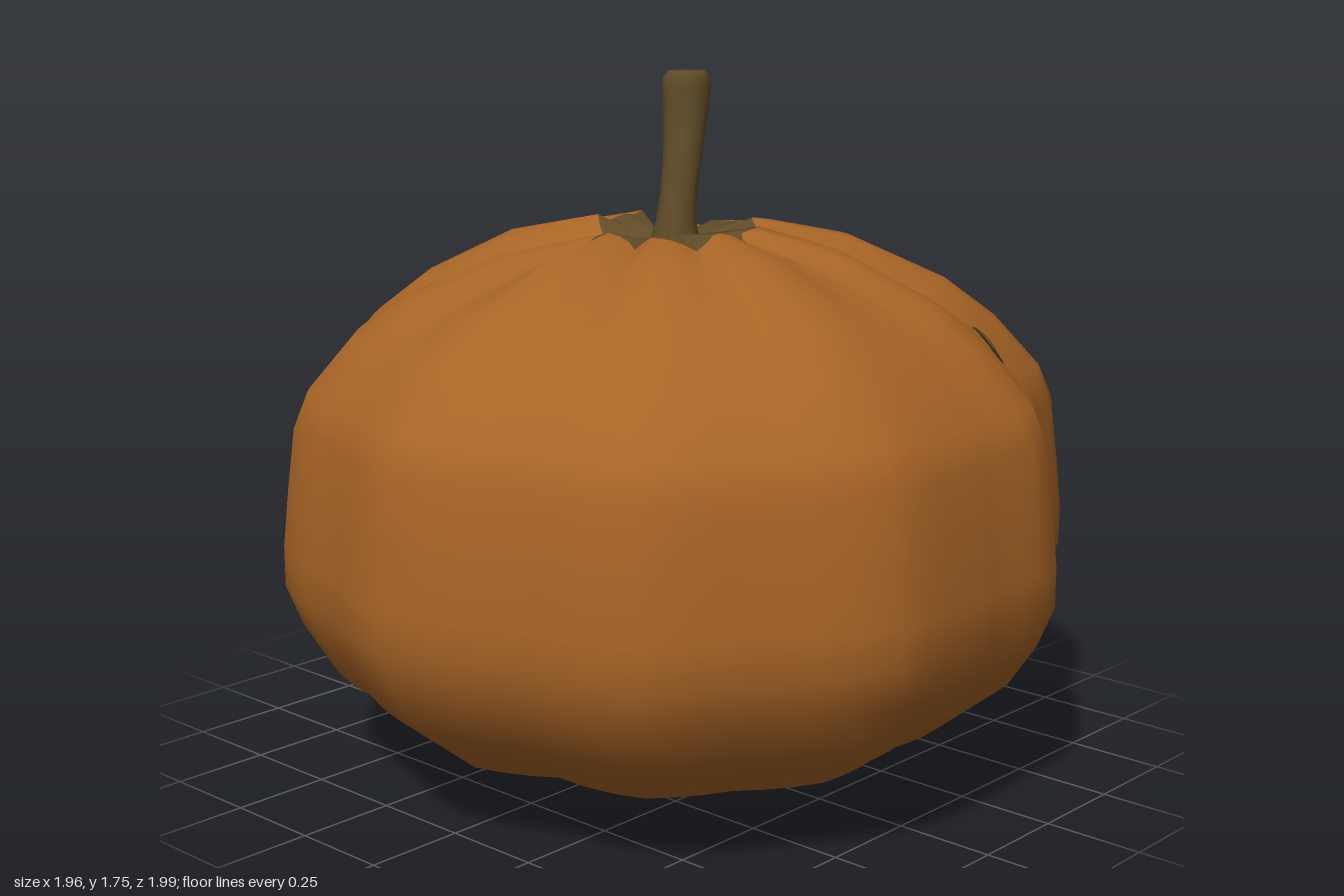
import * as THREE from 'three';

const lerp = THREE.MathUtils.lerp, clamp = THREE.MathUtils.clamp;
const mat = (name, color, side = THREE.FrontSide) => {
  const m = new THREE.MeshStandardMaterial({ color, side });
  m.name = name;
  return m;
};

// Radius at an angle, from a loop of [x, z] points
function polar(points) {
  const p = points.map(([x, z]) => ({ a: Math.atan2(z, x), r: Math.hypot(x, z) })).sort((u, v) => u.a - v.a);
  const first = p[0], last = p[p.length - 1];
  p.unshift({ a: last.a - 2 * Math.PI, r: last.r });
  p.push({ a: first.a + 2 * Math.PI, r: first.r });
  return angle => {
    const a = Math.atan2(Math.sin(angle), Math.cos(angle));
    const i = Math.max(1, p.findIndex(q => q.a >= a));
    return lerp(p[i - 1].r, p[i].r, (a - p[i - 1].a) / (p[i].a - p[i - 1].a));
  };
}

// Piecewise linear curve through [input, output] pairs
function curve(pairs) {
  return v => {
    for (let i = 1; i < pairs.length; i++) {
      if (v <= pairs[i][0]) {
        return lerp(pairs[i - 1][1], pairs[i][1], (v - pairs[i - 1][0]) / (pairs[i][0] - pairs[i - 1][0]));
      }
    }
    return pairs[pairs.length - 1][1];
  };
}

// Closed skin over equal rings of points, bottom to top
function loft(rings) {
  const n = rings[0].length, index = [];
  for (let i = 0; i < rings.length - 1; i++) {
    for (let j = 0; j < n; j++) {
      const k = (j + 1) % n, a = i * n + j, b = i * n + k, c = b + n, d = a + n;
      index.push(a, d, c, a, c, b);
    }
  }
  const g = new THREE.BufferGeometry().setFromPoints(rings.flat());
  g.setIndex(index);
  g.computeVertexNormals();
  return g;
}

// Lobed outline seen from above
const outline = [
  [0.03, -1], [0.33, -0.92], [0.5, -0.89], [0.63, -0.83], [0.69, -0.69], [0.75, -0.54], [0.945, -0.33],
  [0.96, -0.09], [0.97, 0.06], [0.965, 0.31], [0.8, 0.57], [0.63, 0.8], [0.33, 0.89], [0.03, 0.99],
  [-0.26, 0.9], [-0.55, 0.8], [-0.69, 0.645], [-0.76, 0.55], [-0.95, 0.32], [-0.97, 0.06], [-0.975, -0.26],
  [-0.945, -0.4], [-0.81, -0.51], [-0.72, -0.58], [-0.65, -0.69], [-0.55, -0.81], [-0.4, -0.88], [-0.2, -0.92],
];
const lobe = polar(outline);

// Ragged edges of the patches around the stem and under the fruit
const topStar = polar([
  [0.115, -0.25], [0.135, -0.15], [0.24, -0.14], [0.2, -0.03], [0.29, 0.03], [0.22, 0.08], [0.255, 0.175],
  [0.04, 0.195], [-0.035, 0.25], [-0.08, 0.21], [-0.09, 0.1], [-0.21, 0.04], [-0.165, -0.05],
  [-0.17, -0.14], [-0.02, -0.12], [0.06, -0.18],
]);
const bottomStar = polar([
  [0.23, -0.33], [0.18, -0.12], [0.22, 0], [0.17, 0.15], [0, 0.21], [-0.12, 0.16], [-0.22, 0.08],
  [-0.19, -0.05], [-0.3, -0.2], [-0.13, -0.16], [0.02, -0.2], [0.13, -0.25],
]);

// Fullest radius ratio and height, bottom to top
const profile = [
  [0.5, 0.09], [0.71, 0.157], [0.89, 0.3], [0.96, 0.41], [1, 0.51], [1, 0.61], [0.985, 0.75],
  [0.965, 0.905], [0.93, 0.99], [0.81, 1.125], [0.68, 1.225], [0.44, 1.34],
];
const bottomY = curve([[0, 0.025], [0.14, 0.025], [0.21, 0.002], [0.24, 0], [0.485, 0.09]]);
const topY = curve([[0, 1.35], [0.1, 1.355], [0.2, 1.392], [0.43, 1.34]]);

const rows = [
  () => [0, bottomY(0)],
  () => [0.14, bottomY(0.14)],
  a => [bottomStar(a), bottomY(bottomStar(a))],
  ...profile.map(([s, y]) => a => [s * lobe(a), y]),
  a => [topStar(a), topY(topStar(a))],
  a => [topStar(a) * 0.5, topY(topStar(a) * 0.5)],
  () => [0, topY(0)],
];

// Point on the skin at an angle and row; grooves sink inward near both ends
function rowPoint(a, i) {
  const [r, y] = rows[i](a);
  const sink = 0.9 * clamp(1 - lobe(a), 0, 0.08) * Math.min(r / 0.2, 1) * clamp((0.75 - r) / 0.3, 0, 1);
  return new THREE.Vector3(r * Math.cos(a), y + (y > 0.6 ? -sink : sink), r * Math.sin(a));
}
function skinPoint(a, t) {
  const i = Math.floor(t);
  return rowPoint(a, i).lerp(rowPoint(a, i + 1), t - i);
}

export function createModel() {
  const model = new THREE.Group();
  model.name = 'pumpkin';
  const orange = mat('orange skin', 0xa86426);
  const brown = mat('stem brown', 0x5f4b27, THREE.DoubleSide);
  const slate = mat('dark slate', 0x3c4a44);
  const add = (name, geometry, material) => {
    const mesh = new THREE.Mesh(geometry, material);
    mesh.name = name;
    model.add(mesh);
  };

  // Body: three columns between neighbouring outline points
  const corners = outline.map(([x, z]) => Math.atan2(z, x));
  const angles = corners.flatMap((a, i) => {
    let b = corners[(i + 1) % corners.length];
    if (b < a) b += 2 * Math.PI;
    return [0, 1, 2].map(k => lerp(a, b, k / 3));
  });
  const body = loft(rows.map((_, i) => angles.map(a => rowPoint(a, i))));
  const band = angles.length * 6;
  const topRow = rows.length - 3;
  body.addGroup(0, band, 2);
  body.addGroup(band, band, 1);
  body.addGroup(2 * band, (topRow - 2) * band, 0);
  body.addGroup(topRow * band, 2 * band, 1);
  add('body', body, [orange, brown, slate]);

  // Stem: [x, y, z, radius], bending to the back with a rounded tip
  const stem = [
    [0.025, 1.33, 0.01, 0.065], [0.03, 1.39, 0.01, 0.05], [0.03, 1.46, 0, 0.046], [0.025, 1.53, -0.017, 0.048],
    [0.017, 1.6, -0.035, 0.052], [0.011, 1.66, -0.048, 0.057], [0.008, 1.71, -0.052, 0.06],
    [0.008, 1.738, -0.052, 0.058], [0.008, 1.75, -0.052, 0.045], [0.008, 1.75, -0.052, 0],
  ];
  add('stem', loft(stem.map(([x, y, z, r]) => Array.from({ length: 14 }, (_, j) => {
    const a = j / 14 * 2 * Math.PI;
    return new THREE.Vector3(x + r * Math.cos(a), y, z + r * Math.sin(a));
  }))), brown);

  // Blemishes lying just above the skin: angle, row, half widths
  const centre = new THREE.Vector3(0, 0.6, 0);
  const spots = [[-0.606, 11.74, 0.06, 0.34], [-1.702, 9.5, 0.037, 0.38], [0.096, 14.08, 0.035, 0.07]];
  for (const [a, t, da, dt] of spots) {
    const rings = [1, 0.5, 0].map(s => Array.from({ length: 14 }, (_, j) => {
      const u = j / 14 * 2 * Math.PI;
      const p = skinPoint(a + s * da * Math.cos(u), t + s * dt * Math.sin(u));
      return p.sub(centre).multiplyScalar(1.009).add(centre);
    }));
    // Wind the loops so that the plate faces outward
    add('blemish', loft(rings.map(r => r.reverse())), brown);
  }
  return model;
}
